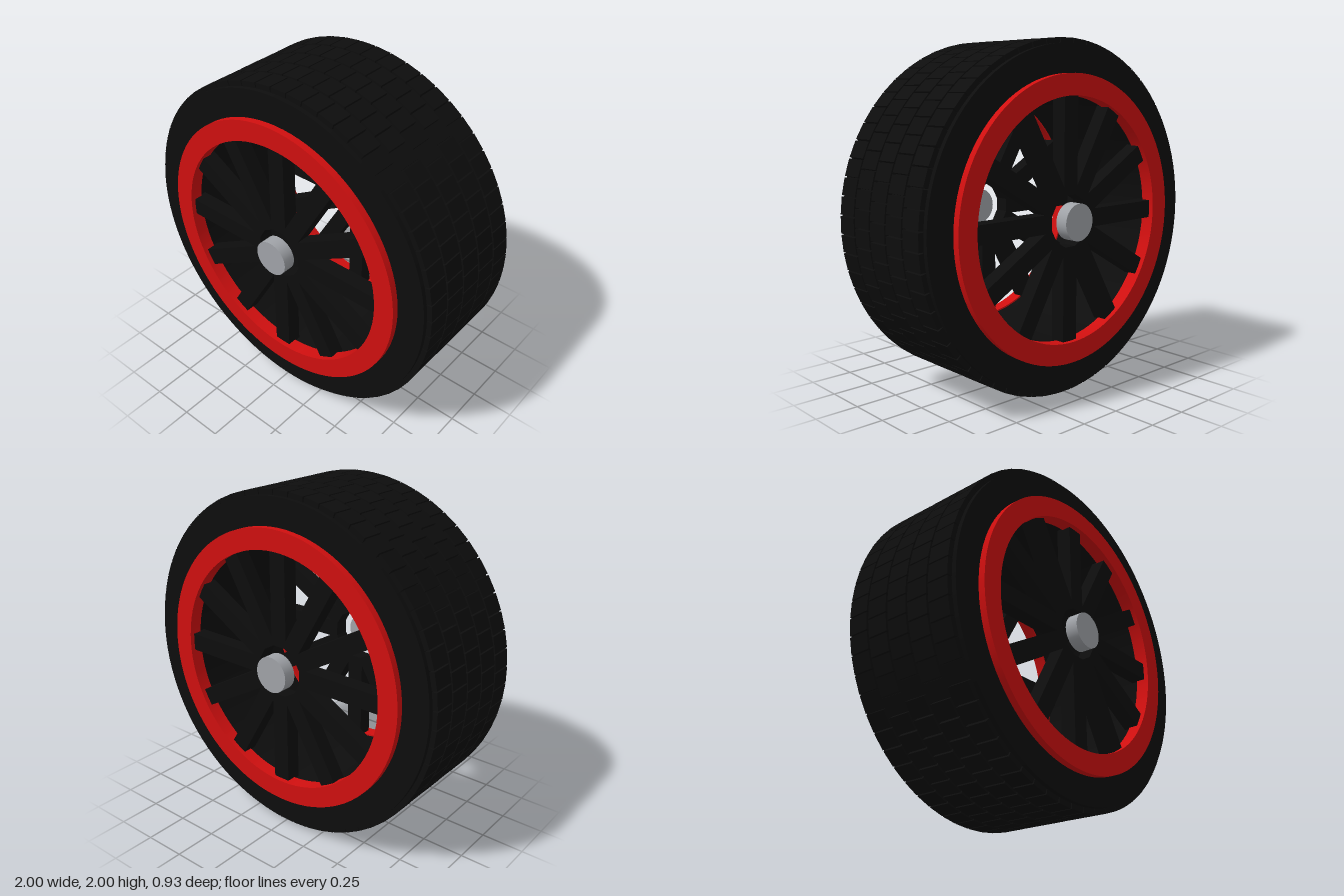
import * as THREE from 'three';
import { mergeGeometries, toCreasedNormals } from 'three/addons/utils/BufferGeometryUtils.js';

const rubber = new THREE.MeshStandardMaterial({ color: 0x0d0d0d });
rubber.name = 'black rubber';
const red = new THREE.MeshStandardMaterial({ color: 0xd00f0f });
red.name = 'red rim';
const steel = new THREE.MeshStandardMaterial({ color: 0xa0a3a8 });
steel.name = 'grey steel';

// Ring of rectangular section around the z axis
function ring(rIn, rOut, z0, z1, segments) {
  const profile = [[rIn, z0], [rOut, z0], [rOut, z1], [rIn, z1], [rIn, z0]]
    .map(([r, z]) => new THREE.Vector2(r, z));
  const g = new THREE.LatheGeometry(profile, segments).rotateX(Math.PI / 2);
  return toCreasedNormals(g, 0.6);
}

// Boxes spaced evenly around the z axis; each box lies along +y at the given radius
function boxesAround(count, width, r0, r1, depth, z, phase = 0) {
  const parts = [];
  for (let i = 0; i < count; i++) {
    parts.push(new THREE.BoxGeometry(width, r1 - r0, depth)
      .translate(0, (r0 + r1) / 2, z)
      .rotateZ(((i + phase) / count) * Math.PI * 2));
  }
  return mergeGeometries(parts);
}

function add(parent, name, geometry, material) {
  const mesh = new THREE.Mesh(geometry, material);
  mesh.name = name;
  parent.add(mesh);
  return mesh;
}

export function createModel() {
  const wheel = new THREE.Group();
  wheel.name = 'wheel';
  wheel.position.y = 1;

  add(wheel, 'tyre', ring(0.7, 0.97, -0.385, 0.385, 96), rubber);

  // Five staggered rows of tread blocks
  const tread = new THREE.Group();
  tread.name = 'tread';
  wheel.add(tread);
  for (let row = -2; row <= 2; row++) {
    const blocks = boxesAround(60, 0.096, 0.95, 0.999, 0.133, row * 0.146, row % 2 ? 0.5 : 0);
    add(tread, 'treadRow', blocks, rubber);
  }

  // Rim, spokes and hub cap on both faces
  for (const side of [1, -1]) {
    const face = new THREE.Group();
    face.name = side > 0 ? 'frontFace' : 'backFace';
    if (side < 0) face.rotation.y = Math.PI;
    wheel.add(face);
    add(face, 'rim', ring(0.69, 0.81, 0.345, 0.425, 96), red);
    add(face, 'spokes', boxesAround(12, 0.104, 0.145, 0.72, 0.09, 0.352), rubber);
    const cap = new THREE.CylinderGeometry(0.105, 0.105, 0.075, 40).rotateX(Math.PI / 2);
    add(face, 'hubCap', cap, steel).position.z = 0.4275;
  }

  const model = new THREE.Group();
  model.name = 'spokedWheel';
  model.add(wheel);
  return model;
}
